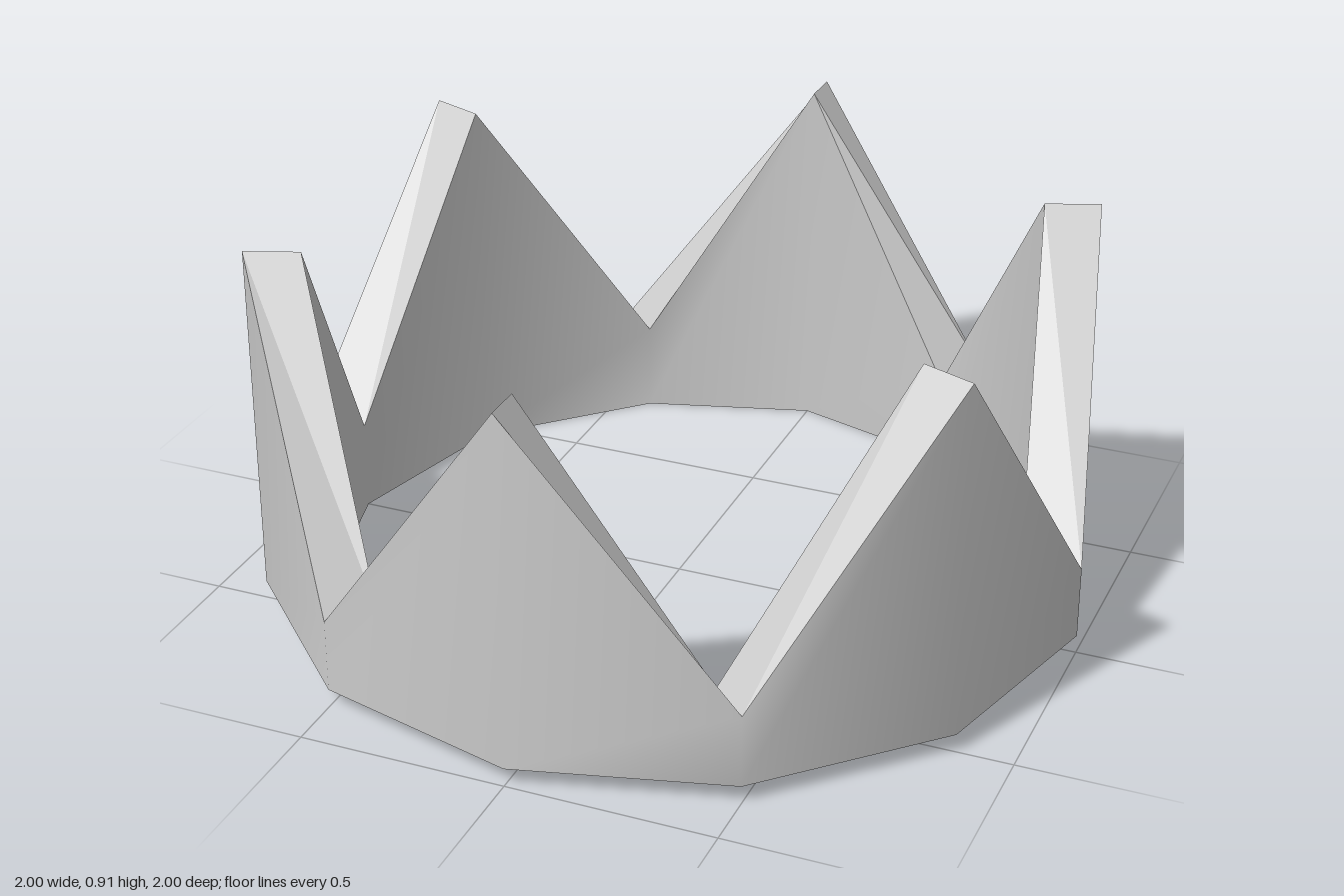
import * as THREE from 'three';

const SIDES = 12;
const PEAK = 0.914, VALLEY = 0.224, BEVEL = 0.045;

// Ring of corners, starting at the front (+z) and turning towards +x
function ring(rx, rz, heightAt) {
  return Array.from({ length: SIDES }, (_, i) => {
    const a = (i / SIDES) * Math.PI * 2;
    return new THREE.Vector3(Math.sin(a) * rx, heightAt(i), Math.cos(a) * rz);
  });
}

// Closed band of quads between two rings
function band(name, lower, upper, smooth) {
  const index = [];
  for (let i = 0; i < SIDES; i++) {
    const j = (i + 1) % SIDES;
    index.push(i, j, SIDES + j, i, SIDES + j, SIDES + i);
  }
  let geometry = new THREE.BufferGeometry().setFromPoints([...lower, ...upper]);
  geometry.setIndex(index);
  if (!smooth) geometry = geometry.toNonIndexed();
  geometry.computeVertexNormals();
  const material = new THREE.MeshStandardMaterial({ color: 0xcccccc, flatShading: !smooth });
  const mesh = new THREE.Mesh(geometry, material);
  mesh.name = name;
  return mesh;
}

export function createModel() {
  const crown = new THREE.Group();
  crown.name = 'crown';

  // Points and notches alternate around the rim
  const zigzag = (i) => (i % 2 === 0 ? PEAK : VALLEY);
  const outerTop = ring(1, 1, zigzag);
  const outerBottom = ring(1, 1, () => BEVEL);
  // The opening is slightly narrower from side to side
  const innerTop = ring(0.855, 0.905, zigzag);
  const innerBottom = ring(0.855, 0.905, () => 0);
  // Front and back notches are pinched inwards a little
  for (const r of [innerTop, innerBottom]) {
    for (const i of [1, 5, 7, 11]) r[i].x *= 0.955;
  }

  crown.add(
    band('outerWall', outerBottom, outerTop, true),
    band('innerWall', innerTop, innerBottom, true),
    band('pointedRim', outerTop, innerTop, false),
    band('bottomBevel', innerBottom, outerBottom, false),
  );
  return crown;
}
